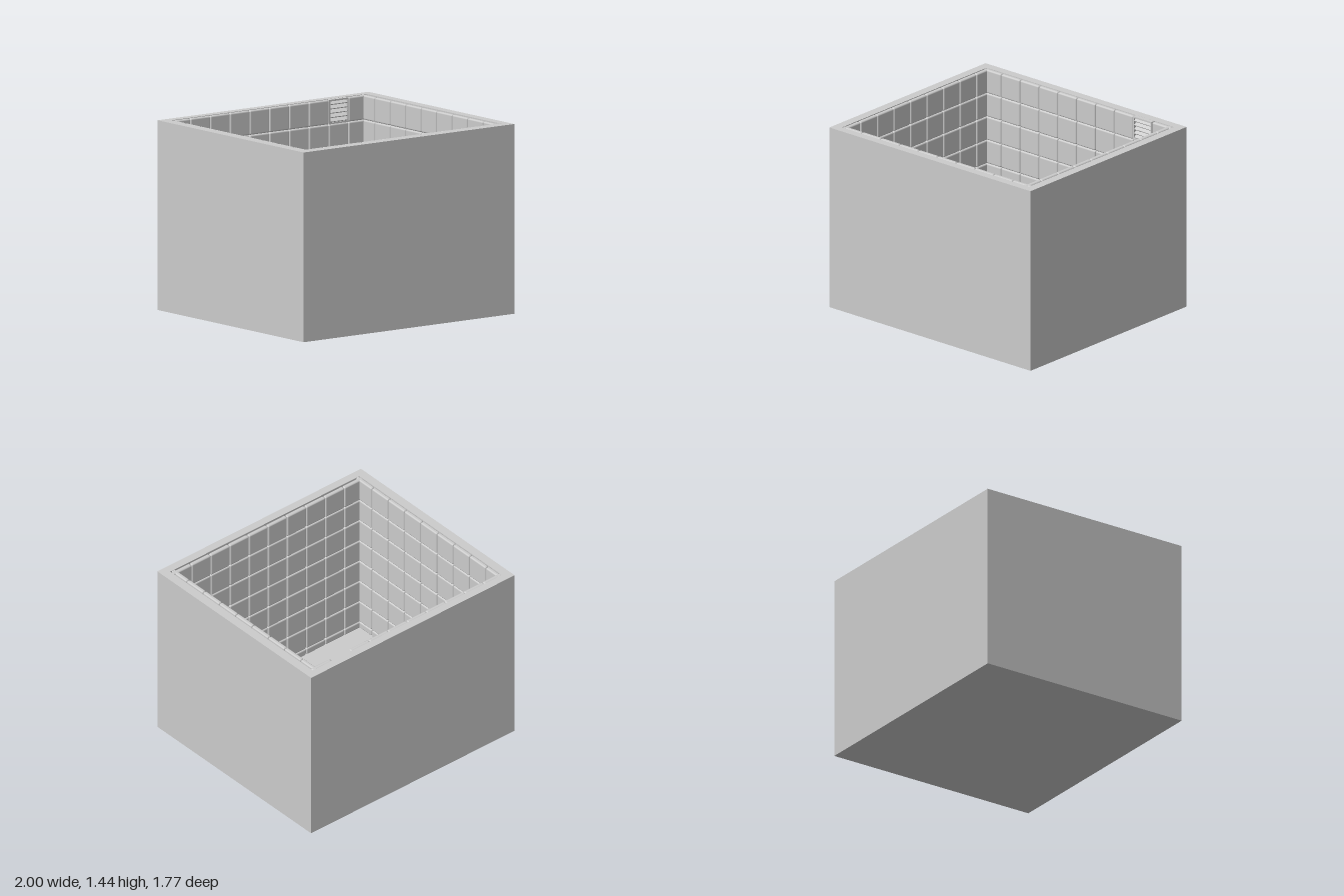
import * as THREE from 'three';
import { RoundedBoxGeometry } from 'three/addons/geometries/RoundedBoxGeometry.js';

const WIDTH = 2, DEPTH = 1.77, HEIGHT = 1.44, FLOOR = 0.07;
const INNER_X = 0.93, INNER_Z = 0.82;
const PITCH = 0.1875, GAP = 0.002, THICK = 0.034, ROWS = 8;

export function createModel() {
  const room = new THREE.Group();
  room.name = 'paddedRoom';
  const material = new THREE.MeshStandardMaterial({ color: 0xcccccc });

  const add = (parent, geometry, name, x, y, z) => {
    const mesh = new THREE.Mesh(geometry, material);
    mesh.name = name;
    mesh.position.set(x, y, z);
    parent.add(mesh);
    return mesh;
  };

  // Outer walls: a rectangular ring raised to full height
  const ring = new THREE.Shape();
  ring.moveTo(-WIDTH / 2, -DEPTH / 2).lineTo(WIDTH / 2, -DEPTH / 2);
  ring.lineTo(WIDTH / 2, DEPTH / 2).lineTo(-WIDTH / 2, DEPTH / 2).closePath();
  const hole = new THREE.Path();
  hole.moveTo(-INNER_X, -INNER_Z).lineTo(-INNER_X, INNER_Z);
  hole.lineTo(INNER_X, INNER_Z).lineTo(INNER_X, -INNER_Z).closePath();
  ring.holes.push(hole);
  const walls = new THREE.ExtrudeGeometry(ring, { depth: HEIGHT, bevelEnabled: false });
  walls.rotateX(-Math.PI / 2);
  add(room, walls, 'walls', 0, 0, 0);

  // Floor slab
  add(room, new THREE.BoxGeometry(INNER_X * 2, FLOOR, INNER_Z * 2), 'floor', 0, FLOOR / 2, 0);

  // Full pads, and shorter ones for the row that meets the floor
  const size = PITCH - GAP;
  const shortHeight = HEIGHT - PITCH * (ROWS - 1) - FLOOR;
  const fullPad = new RoundedBoxGeometry(size, size, THICK, 2, 0.012);
  const shortPad = new RoundedBoxGeometry(size, shortHeight - GAP, THICK, 2, 0.012);

  // Each wall: pads run along local x and face local +z
  const padWalls = [
    { name: 'backPads', x: -0.0125, z: -0.804, turn: 0, count: 10, ventColumn: 8 },
    { name: 'frontPads', x: 0, z: 0.796, turn: Math.PI, count: 10 },
    { name: 'rightPads', x: -0.914, z: -0.0125, turn: Math.PI / 2, count: 9 },
    { name: 'leftPads', x: 0.896, z: -0.0025, turn: -Math.PI / 2, count: 9 },
  ];

  for (const { name, x, z, turn, count, ventColumn } of padWalls) {
    const wall = new THREE.Group();
    wall.name = name;
    wall.position.set(x, 0, z);
    wall.rotation.y = turn;
    room.add(wall);

    for (let row = 0; row < ROWS; row++) {
      const last = row === ROWS - 1;
      const y = last ? FLOOR + shortHeight / 2 : HEIGHT - PITCH * (row + 0.5);
      for (let column = 0; column < count; column++) {
        const px = (column - (count - 1) / 2) * PITCH;
        if (row === 0 && column === ventColumn) addVent(wall, px, y);
        else add(wall, last ? shortPad : fullPad, 'pad', px, y, 0);
      }
    }
  }

  // Air vent with slanted slats, in place of one top pad
  function addVent(parent, x, y) {
    const vent = new THREE.Group();
    vent.name = 'airVent';
    vent.position.set(x, y, 0);
    parent.add(vent);
    const bar = 0.012, edge = (size - bar) / 2;
    for (const side of [-1, 1]) {
      add(vent, new THREE.BoxGeometry(bar, size, THICK), 'ventSide', side * edge, 0, 0);
      add(vent, new THREE.BoxGeometry(size, bar, THICK), 'ventRail', 0, side * edge, 0);
    }
    const slat = new THREE.BoxGeometry(size - bar * 2, 0.008, 0.036);
    for (let i = -2; i <= 2; i++) {
      add(vent, slat, 'ventSlat', 0, i * 0.033, 0).rotation.x = 0.6;
    }
  }

  return room;
}
